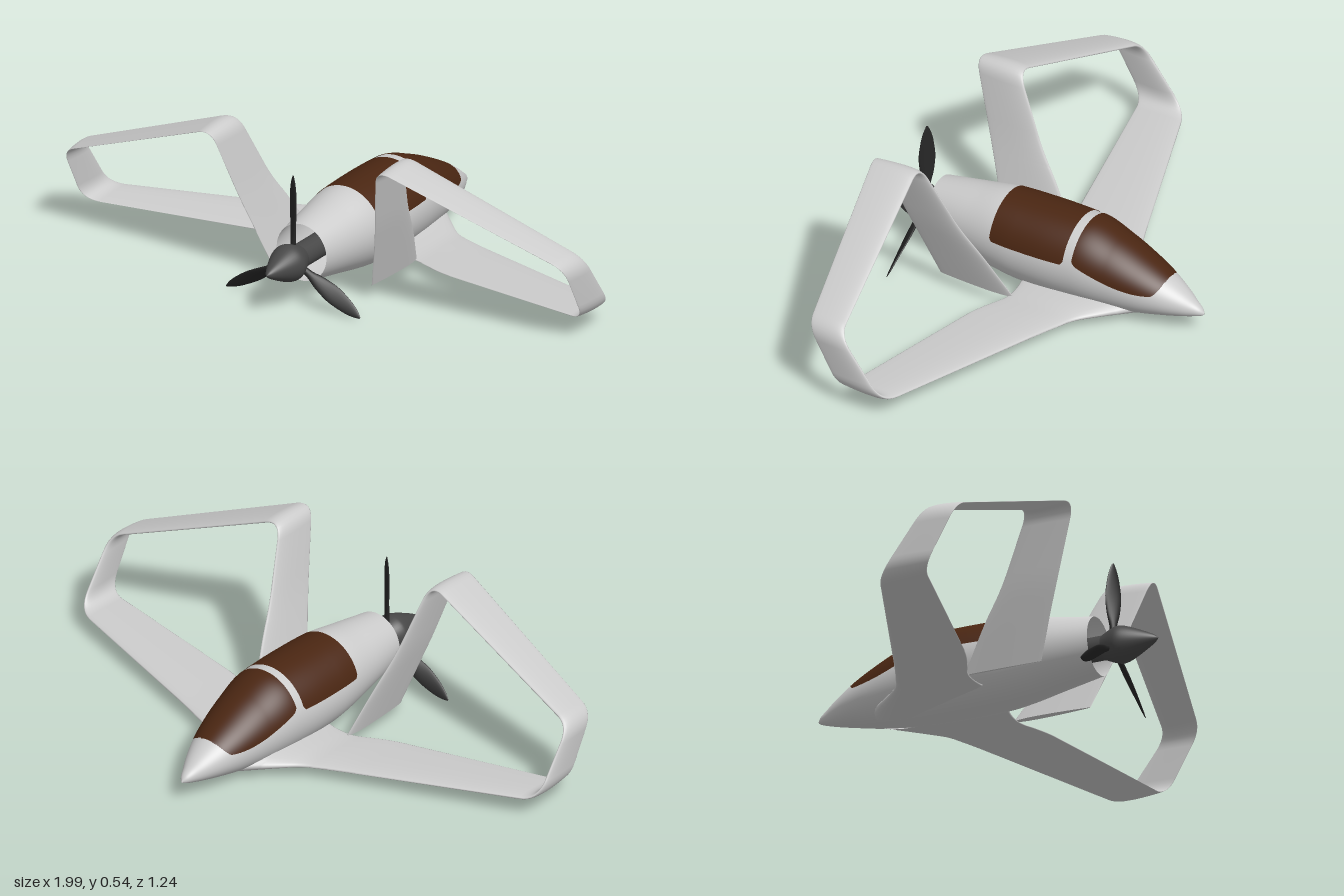
import * as THREE from 'three';

const material = (color) => new THREE.MeshStandardMaterial({ color, side: THREE.DoubleSide });

// Smooth, overshoot-free lookup in a table of rows [key, value, value...]
function lookup(table, key) {
  let i = 0;
  while (i < table.length - 2 && key > table[i + 1][0]) i++;
  const slope = (k, c) => (table[k + 1][c] - table[k][c]) / (table[k + 1][0] - table[k][0]);
  const tangent = (k, c) => {
    if (k === 0) return slope(0, c);
    if (k === table.length - 1) return slope(k - 1, c);
    const a = slope(k - 1, c), b = slope(k, c);
    return a * b > 0 ? (2 * a * b) / (a + b) : 0;
  };
  const h = table[i + 1][0] - table[i][0];
  const t = THREE.MathUtils.clamp((key - table[i][0]) / h, 0, 1);
  return table[i].slice(1).map((_, n) => {
    const c = n + 1;
    return (1 + 2 * t) * (1 - t) ** 2 * table[i][c] + t * (1 - t) ** 2 * h * tangent(i, c)
      + t * t * (3 - 2 * t) * table[i + 1][c] + t * t * (t - 1) * h * tangent(i + 1, c);
  });
}

// Skin over a series of cross-sections
function loft(rings, closed = true) {
  const n = rings[0].length, index = [];
  for (let i = 0; i < rings.length - 1; i++) {
    for (let j = 0; j < (closed ? n : n - 1); j++) {
      const k = (j + 1) % n;
      const a = i * n + j, b = i * n + k, c = a + n, d = b + n;
      index.push(a, b, c, b, d, c);
    }
  }
  const geo = new THREE.BufferGeometry();
  geo.setAttribute('position', new THREE.Float32BufferAttribute(rings.flat(2), 3));
  geo.setIndex(index);
  geo.computeVertexNormals();
  return geo;
}

// Ring doubled for a sharp edge, then closed to its centre
function capEnd(rings) {
  const last = rings[rings.length - 1];
  const mid = [0, 1, 2].map((c) => last.reduce((s, p) => s + p[c], 0) / last.length);
  rings.push(last.map((p) => [...p]), last.map(() => [...mid]));
}

// Fuselage stations: z, half width, top, bottom
const BODY = [
  [-0.62, 0.003, 0.079, 0.071], [-0.61, 0.014, 0.092, 0.066], [-0.58, 0.031, 0.114, 0.057],
  [-0.55, 0.048, 0.136, 0.05], [-0.48, 0.08, 0.18, 0.036], [-0.4, 0.106, 0.222, 0.021],
  [-0.3, 0.128, 0.267, 0.009], [-0.18, 0.146, 0.305, 0.002], [-0.05, 0.151, 0.307, 0],
  [0.05, 0.149, 0.306, 0.003], [0.13, 0.142, 0.304, 0.012], [0.25, 0.124, 0.286, 0.034],
  [0.4, 0.098, 0.262, 0.06],
];

function bodyPoint(z, angle, scale = 1) {
  const [w, top, bottom] = lookup(BODY, z);
  return [Math.cos(angle) * w * scale, (top + bottom) / 2 + Math.sin(angle) * (top - bottom) / 2 * scale, z];
}

function fuselage() {
  const rings = [];
  for (let i = 0; i <= 80; i++) {
    const z = -0.62 + 1.02 * (i / 80) ** 1.3;
    rings.push(Array.from({ length: 64 }, (_, j) => bodyPoint(z, (j / 64) * Math.PI * 2)));
  }
  return loft(rings);
}

// Glass wraps over the fuselage; sill rows: z, lower edge height
function canopy(sill, scale) {
  const z0 = sill[0][0], z1 = sill[sill.length - 1][0], rings = [];
  for (let i = 0; i <= 60; i++) {
    const z = z0 + (z1 - z0) * (i / 60);
    const [, top, bottom] = lookup(BODY, z);
    const s = (lookup(sill, z)[0] - (top + bottom) / 2) / ((top - bottom) / 2);
    const a = Math.asin(THREE.MathUtils.clamp(s, -1, 1));
    rings.push(Array.from({ length: 41 }, (_, j) => bodyPoint(z, a + (Math.PI - 2 * a) * (j / 40), scale)));
  }
  return loft(rings, false);
}

// Wing loop stations: x, y, leading z, trailing z, half thickness, corner radius
const WING = [
  [0.04, 0.05, -0.42, 0.04, 0.035, 0], [0.14, 0.045, -0.315, 0.015, 0.02, 0.03],
  [0.21, 0.043, -0.245, 0.015, 0.012, 0.03], [0.33, 0.046, -0.195, 0.07, 0.01, 0.05],
  [0.985, 0.068, 0.04, 0.205, 0.008, 0.06], [0.985, 0.285, 0.2, 0.325, 0.008, 0.05],
  [0.325, 0.548, 0.287, 0.455, 0.008, 0.06], [0.27, 0.3, 0.165, 0.37, 0.008, 0.05],
  [0.243, 0.2, 0.092, 0.333, 0.008, 0.05], [0.2, 0.045, 0, 0.28, 0.008, 0],
];

function wingLoop(side) {
  const mix = (a, b, t) => a.map((v, c) => v + (b[c] - v) * t);
  const toward = (a, b, d) => mix(a, b, Math.min(0.5, d / Math.hypot(b[0] - a[0], b[1] - a[1])));
  // Round every corner of the path
  const path = [WING[0]];
  for (let i = 1; i < WING.length - 1; i++) {
    const p = WING[i], a = toward(p, WING[i - 1], p[5]), b = toward(p, WING[i + 1], p[5]);
    for (let k = 0; k <= 8; k++) path.push(mix(mix(a, p, k / 8), mix(p, b, k / 8), k / 8));
  }
  path.push(WING[WING.length - 1]);
  const rings = path.map((p, i) => {
    const a = path[Math.max(0, i - 1)], b = path[Math.min(path.length - 1, i + 1)];
    const tx = (b[0] - a[0]) * side, ty = b[1] - a[1], len = Math.hypot(tx, ty);
    // Aerofoil: blunt leading edge, thin trailing edge
    return Array.from({ length: 28 }, (_, j) => {
      const c = Math.cos((j / 28) * Math.PI * 2), s = Math.sin((j / 28) * Math.PI * 2);
      const off = -s * p[4] * (1 - 0.5 * c);
      return [p[0] * side - (ty / len) * off, p[1] + (tx / len) * off, (p[2] + p[3]) / 2 + c * (p[3] - p[2]) / 2];
    });
  });
  capEnd(rings);
  return loft(rings);
}

// Blade rows: radius, half chord, half thickness
const BLADE = [
  [0.03, 0.011, 0.01], [0.07, 0.013, 0.009], [0.12, 0.024, 0.007], [0.18, 0.03, 0.005],
  [0.24, 0.024, 0.004], [0.28, 0.014, 0.003], [0.303, 0.003, 0.001],
];

function blade() {
  const rings = [];
  for (let i = 0; i <= 24; i++) {
    const r = 0.03 + 0.273 * (i / 24), [w, t] = lookup(BLADE, r);
    const pitch = 0.85 - 0.35 * (i / 24), cp = Math.cos(pitch), sp = Math.sin(pitch);
    rings.push(Array.from({ length: 16 }, (_, j) => {
      const a = (j / 16) * Math.PI * 2, u = Math.cos(a) * w, v = -Math.sin(a) * t;
      return [u * cp - v * sp, r, u * sp + v * cp];
    }));
  }
  capEnd(rings);
  return loft(rings);
}

export function createModel() {
  const model = new THREE.Group();
  model.name = 'pusherAircraft';
  const plane = new THREE.Group();
  plane.name = 'aircraft';
  plane.position.x = -0.008;
  plane.rotation.y = 0.033;
  model.add(plane);

  const white = material(0xcccccc), glass = material(0x4a2612);
  const dark = material(0x484848), black = material(0x262626);
  const add = (parent, name, geo, mat) => {
    const mesh = new THREE.Mesh(geo, mat);
    mesh.name = name;
    parent.add(mesh);
    return mesh;
  };

  add(plane, 'fuselage', fuselage(), white);

  // Canopy glass, visible outside and inside the shell
  const rearSill = [[-0.155, 0.205], [-0.145, 0.192], [0.12, 0.188], [0.13, 0.2]];
  const frontSill = [[-0.487, 0.172], [-0.475, 0.15], [-0.46, 0.137], [-0.44, 0.136], [-0.2, 0.198], [-0.186, 0.212]];
  for (const [layer, scale] of [['Outer', 1.01], ['Inner', 0.985]]) {
    add(plane, 'rearCanopy' + layer, canopy(rearSill, scale), glass);
    add(plane, 'frontCanopy' + layer, canopy(frontSill, scale), glass);
  }

  // Joined wing loops
  add(plane, 'leftWingLoop', wingLoop(1), white);
  add(plane, 'rightWingLoop', wingLoop(-1), white);

  // Propeller at the tail
  const propeller = new THREE.Group();
  propeller.name = 'propeller';
  propeller.position.set(0, 0.152, 0.452);
  plane.add(propeller);
  const spinnerProfile = new THREE.SplineCurve([
    [0.038, -0.04], [0.05, -0.015], [0.062, 0.015], [0.064, 0.035], [0.055, 0.065], [0.035, 0.11], [0.014, 0.15], [0, 0.165],
  ].map(([r, y]) => new THREE.Vector2(r, y))).getPoints(32);
  spinnerProfile[32].x = 0;
  add(propeller, 'spinner', new THREE.LatheGeometry(spinnerProfile, 40).rotateX(Math.PI / 2), dark);
  const shaft = add(propeller, 'shaft', new THREE.CylinderGeometry(0.042, 0.042, 0.2, 32).rotateX(Math.PI / 2), dark);
  shaft.position.z = -0.1;
  for (let i = 0; i < 3; i++) {
    add(propeller, 'blade', blade(), black).rotation.z = (i * Math.PI * 2) / 3;
  }
  return model;
}
